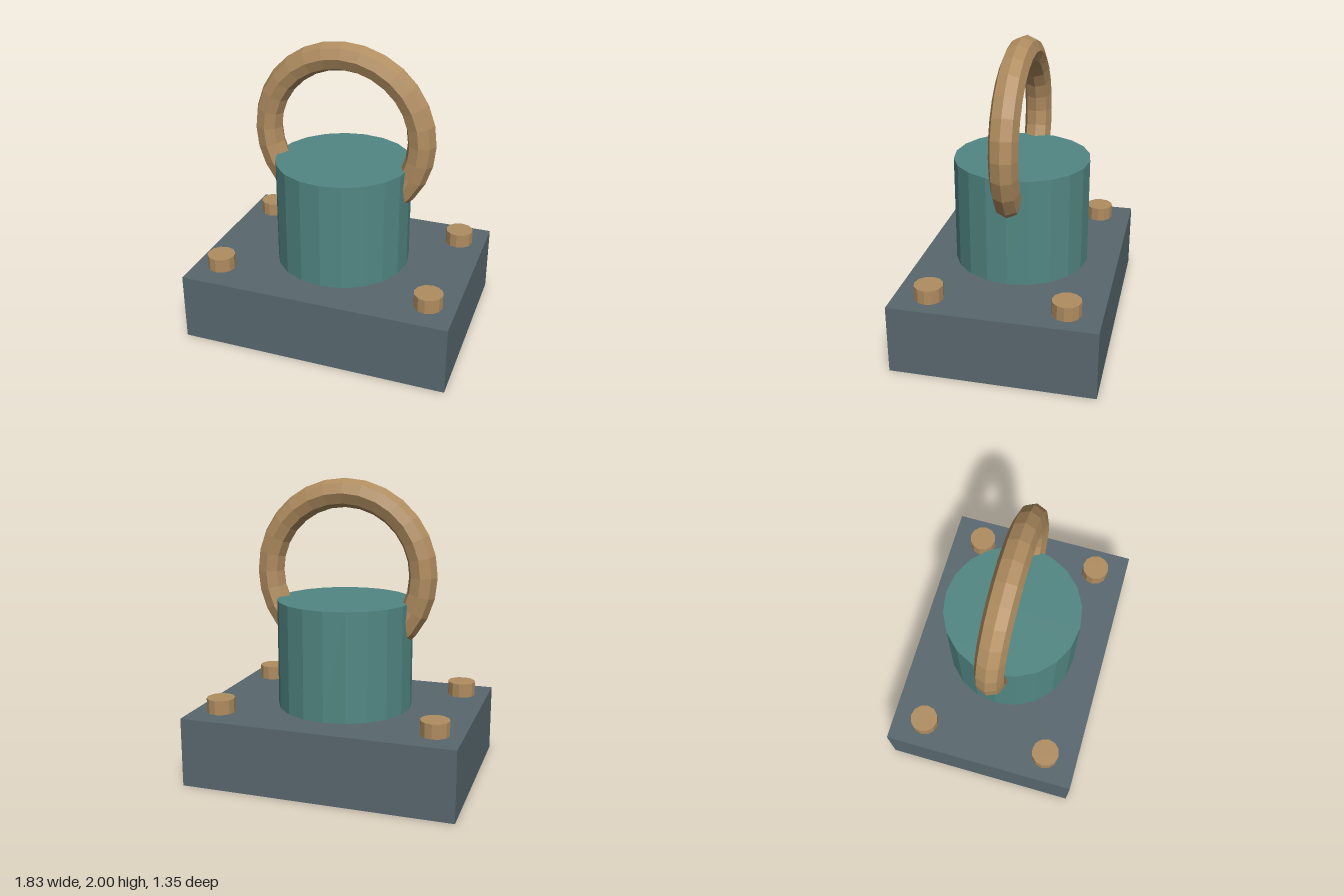
import * as THREE from 'three';

export function createModel() {
  const model = new THREE.Group();
  model.name = 'ringMount';

  const makeMaterial = (name, color) => {
    const m = new THREE.MeshStandardMaterial({ color, flatShading: true });
    m.name = name;
    return m;
  };
  const slate = makeMaterial('slate', 0x59686f);
  const teal = makeMaterial('teal', 0x528783);
  const bronze = makeMaterial('bronze', 0xb08d60);

  const add = (name, geometry, material, x, y, z) => {
    const mesh = new THREE.Mesh(geometry, material);
    mesh.name = name;
    mesh.position.set(x, y, z);
    model.add(mesh);
  };

  // Base block
  const baseH = 0.466;
  add('base', new THREE.BoxGeometry(1.825, baseH, 1.345), slate, 0, baseH / 2, 0);

  // Central post
  const postH = 0.73;
  add('post', new THREE.CylinderGeometry(0.459, 0.459, postH, 20), teal, 0, baseH + postH / 2, 0);

  // Lifting ring, its lower part sunk in the post
  add('ring', new THREE.TorusGeometry(0.535, 0.095, 8, 28), bronze, 0, 1.37, 0);

  // Corner bolts
  const boltH = 0.096;
  const bolt = new THREE.CylinderGeometry(0.095, 0.095, boltH, 12);
  for (const [sx, side] of [[1, 'Left'], [-1, 'Right']]) {
    for (const [sz, end] of [[1, 'front'], [-1, 'back']]) {
      add(`${end}${side}Bolt`, bolt, bronze, sx * 0.729, baseH + boltH / 2, sz * 0.444);
    }
  }

  return model;
}
